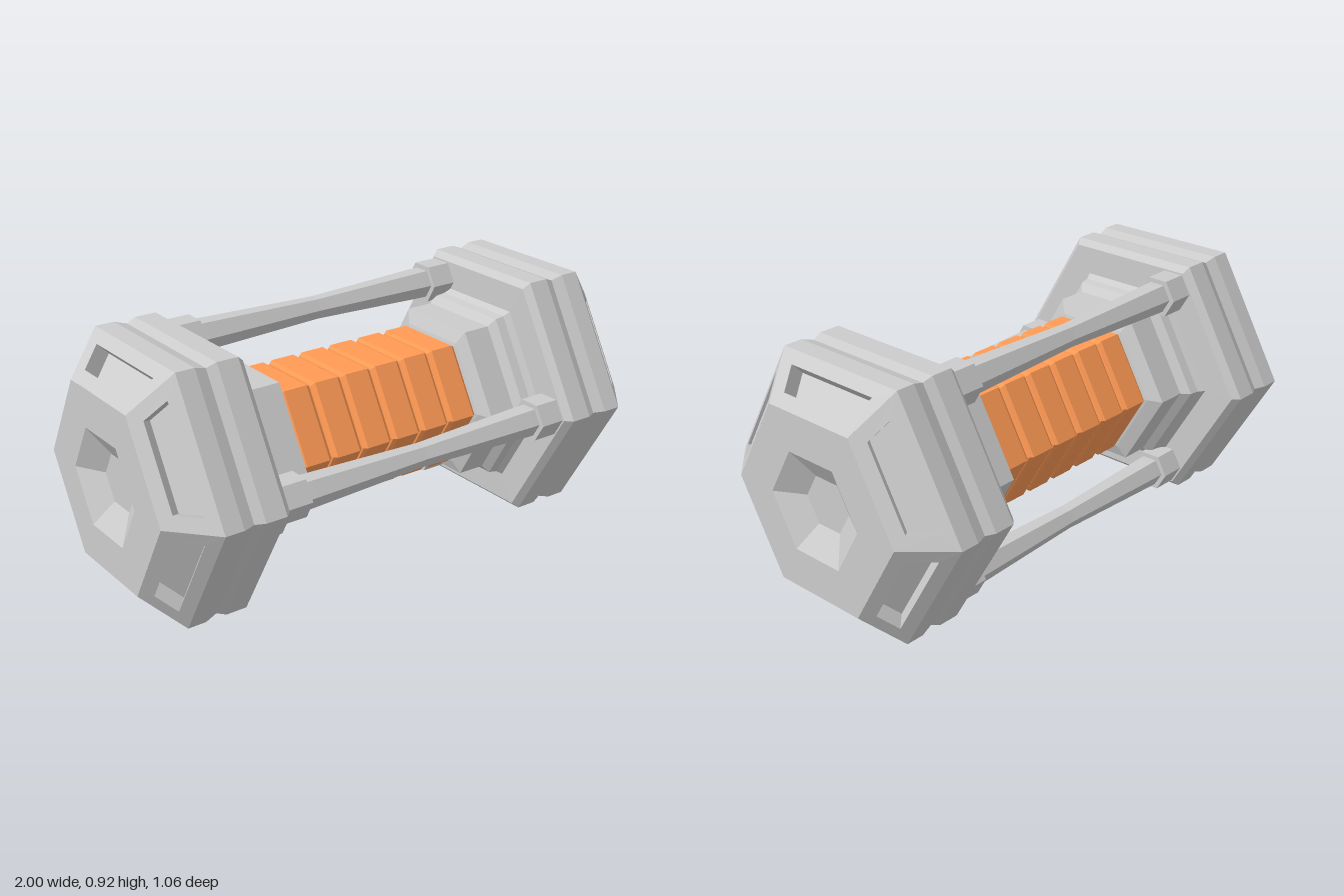
import * as THREE from 'three';

const grey = new THREE.MeshStandardMaterial({ color: 0xcccccc, flatShading: true });
const orange = new THREE.MeshStandardMaterial({ color: 0xff9a55, flatShading: true });

// Hexagonal solid along x from [x, radius] points, listed towards +x
function hex(name, profile, material = grey) {
  const points = profile.map(([x, r]) => new THREE.Vector2(r, x));
  const geometry = new THREE.LatheGeometry(points, 6).rotateZ(-Math.PI / 2).toNonIndexed();
  geometry.computeVertexNormals();
  const mesh = new THREE.Mesh(geometry, material);
  mesh.name = name;
  return mesh;
}

// Four-sided loops joined in order, the last one closed by a floor
function slotPanel() {
  const loop = (x0, y0, z0, x1, y1, z1) =>
    [[x0, y0, -z0], [x0, y0, z0], [x1, y1, z1], [x1, y1, -z1]];
  const loops = [
    loop(0.86, 0.459, 0.265, 1, 0.324, 0.187),
    loop(0.896, 0.425, 0.19, 0.963, 0.36, 0.153),
    loop(0.854, 0.382, 0.19, 0.921, 0.317, 0.153),
  ];
  const positions = [];
  const quad = (a, b, c, d) => positions.push(...a, ...b, ...c, ...a, ...c, ...d);
  for (let l = 0; l < 2; l++) {
    for (let i = 0; i < 4; i++) {
      const j = (i + 1) % 4;
      quad(loops[l][i], loops[l][j], loops[l + 1][j], loops[l + 1][i]);
    }
  }
  quad(...loops[2]);
  const geometry = new THREE.BufferGeometry();
  geometry.setAttribute('position', new THREE.Float32BufferAttribute(positions, 3));
  geometry.computeVertexNormals();
  return geometry;
}

function endCap() {
  const cap = new THREE.Group();
  // Stepped collar growing into the grooved rim
  cap.add(hex('collarAndRim', [
    [0.385, 0.25], [0.39, 0.275], [0.41, 0.33], [0.52, 0.33], [0.545, 0.362], [0.58, 0.368],
    [0.603, 0.385], [0.605, 0.505], [0.63, 0.53], [0.71, 0.53], [0.745, 0.514],
    [0.79, 0.53], [0.86, 0.53],
  ]));
  // Flat end with a sunken hexagonal dish
  cap.add(hex('endPlate', [[1, 0.374], [1, 0.208], [0.94, 0.102], [0.94, 0]].map((p) => p)));
  // Six bevelled faces, each with a recessed slot
  const panel = slotPanel();
  for (let k = 0; k < 6; k++) {
    const mesh = new THREE.Mesh(panel, grey);
    mesh.name = 'slottedBevel';
    mesh.rotation.x = (k * Math.PI) / 3;
    cap.add(mesh);
  }
  return cap;
}

export function createModel() {
  const model = new THREE.Group();
  model.name = 'canister';

  // End caps, mirrored
  for (const side of [1, -1]) {
    const cap = endCap();
    cap.name = side > 0 ? 'leftCap' : 'rightCap';
    if (side < 0) cap.rotation.y = Math.PI;
    model.add(cap);
  }

  // Ribbed core of six chamfered segments
  const ribs = [];
  const pitch = 0.13;
  for (let i = 0; i < 6; i++) {
    const x = -0.39 + i * pitch;
    ribs.push([x + 0.003, 0.25], [x + 0.005, 0.26], [x + 0.018, 0.27],
      [x + pitch - 0.018, 0.27], [x + pitch - 0.005, 0.26], [x + pitch - 0.003, 0.25]);
  }
  model.add(hex('ribbedCore', ribs, orange));

  // Three waisted guard rods held by clamps
  for (let k = 0; k < 3; k++) {
    const angle = (k * 2 * Math.PI) / 3;
    const guard = new THREE.Group();
    guard.name = 'guardRod';
    guard.position.set(0, 0.419 * Math.sin(angle), 0.419 * Math.cos(angle));
    guard.add(hex('rod', [[-0.6, 0.06], [-0.48, 0.059], [0, 0.043], [0.48, 0.059], [0.6, 0.06]]));
    for (const x of [-0.62, 0.508]) {
      guard.add(hex('clamp', [[x, 0], [x, 0.079], [x + 0.112, 0.079], [x + 0.112, 0]]));
    }
    model.add(guard);
  }

  // Lift so the lower faces rest on the ground
  model.children.forEach((part) => { part.position.y += 0.459; });
  return model;
}
